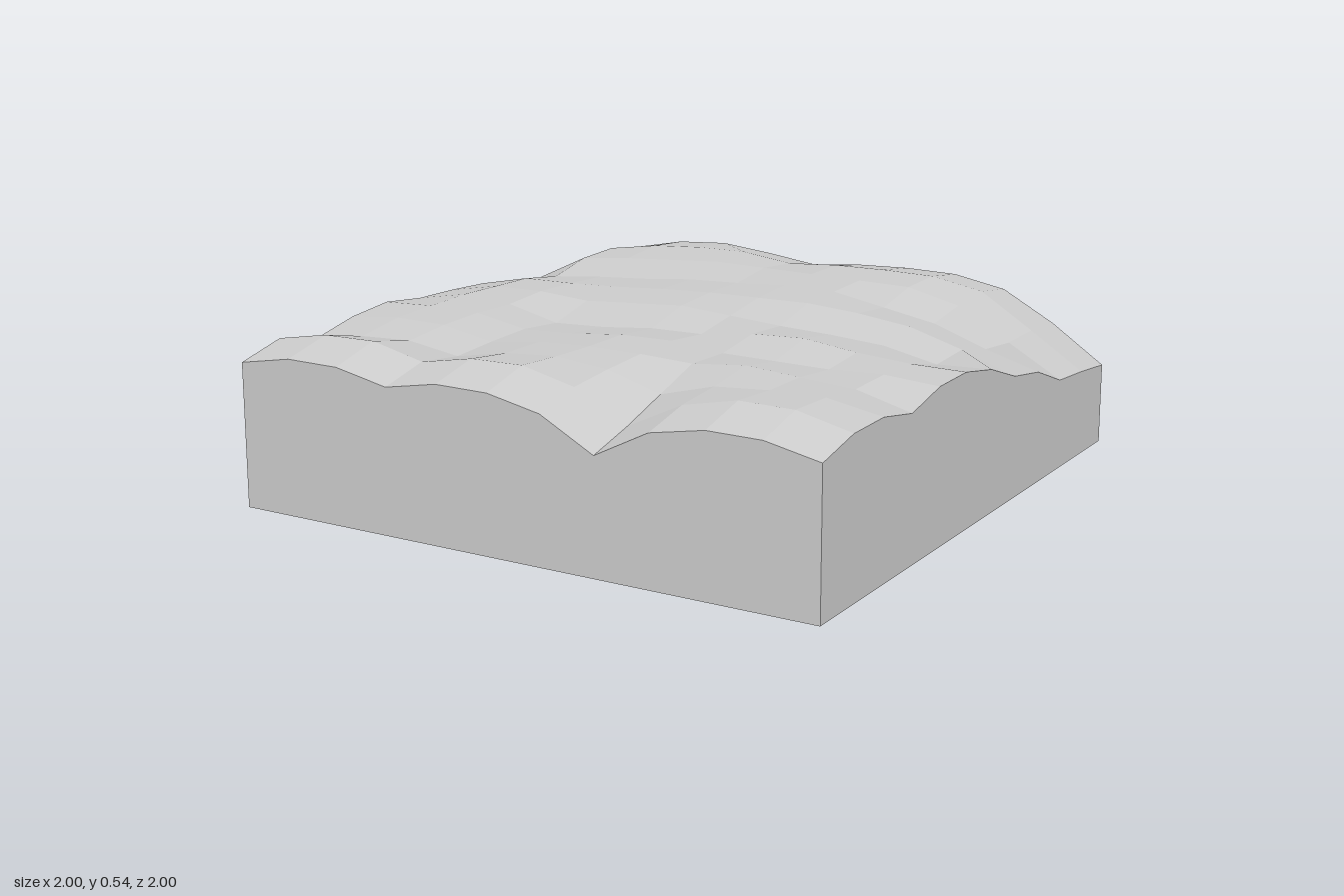
import * as THREE from 'three';

// Ground height in thousandths: one row per z line (back to front), one value per x line
const HEIGHTS = [
  [370, 460, 500, 515, 500, 480, 500, 510, 510, 480, 385, 265],
  [400, 490, 520, 535, 540, 520, 535, 540, 540, 510, 400, 285],
  [400, 490, 510, 525, 540, 540, 540, 540, 540, 500, 400, 300],
  [370, 460, 480, 495, 515, 525, 540, 540, 510, 480, 420, 370],
  [450, 490, 495, 505, 520, 530, 535, 540, 530, 510, 460, 400],
  [465, 500, 505, 495, 510, 525, 515, 505, 500, 490, 455, 465],
  [475, 510, 500, 460, 470, 490, 495, 520, 530, 510, 500, 500],
  [500, 510, 510, 480, 490, 510, 515, 500, 500, 500, 510, 500],
  [490, 510, 510, 480, 505, 515, 515, 510, 530, 520, 510, 465],
  [460, 490, 500, 475, 510, 525, 510, 460, 510, 525, 530, 500],
  [500, 535, 540, 500, 535, 540, 500, 410, 500, 540, 540, 500],
  [465, 500, 500, 465, 500, 500, 465, 370, 465, 500, 500, 465],
];
const N = HEIGHTS.length - 1;
const at = (k) => -1 + (2 * k) / N;
const top = (i, j) => new THREE.Vector3(at(i), HEIGHTS[j][i] / 1000, at(j));
const foot = (i, j) => new THREE.Vector3(at(i), 0, at(j));

// Mesh from four-cornered faces (counter-clockwise), each with one flat normal
function quadMesh(name, quads, material) {
  const positions = [], normals = [];
  for (const [a, b, c, d] of quads) {
    const n = c.clone().sub(a).cross(d.clone().sub(b)).normalize();
    for (const p of [a, b, c, a, c, d]) {
      positions.push(p.x, p.y, p.z);
      normals.push(n.x, n.y, n.z);
    }
  }
  const geometry = new THREE.BufferGeometry();
  geometry.setAttribute('position', new THREE.Float32BufferAttribute(positions, 3));
  geometry.setAttribute('normal', new THREE.Float32BufferAttribute(normals, 3));
  const mesh = new THREE.Mesh(geometry, material);
  mesh.name = name;
  return mesh;
}

export function createModel() {
  const group = new THREE.Group();
  group.name = 'terrainBlock';
  const material = new THREE.MeshStandardMaterial({ color: 0xcccccc });

  // Rolling ground surface
  const ground = [];
  for (let j = 0; j < N; j++)
    for (let i = 0; i < N; i++)
      ground.push([top(i, j), top(i, j + 1), top(i + 1, j + 1), top(i + 1, j)]);
  group.add(quadMesh('groundSurface', ground, material));

  // Cut side walls, each walked left to right as seen from outside
  const walls = {
    frontWall: (k) => [k, N],
    rightWall: (k) => [N, N - k],
    backWall: (k) => [N - k, 0],
    leftWall: (k) => [0, k],
  };
  for (const [name, cell] of Object.entries(walls)) {
    const quads = [];
    for (let k = 0; k < N; k++) {
      const a = cell(k), b = cell(k + 1);
      quads.push([foot(...a), foot(...b), top(...b), top(...a)]);
    }
    group.add(quadMesh(name, quads, material));
  }

  // Flat underside
  const base = [[foot(0, 0), foot(N, 0), foot(N, N), foot(0, N)]];
  group.add(quadMesh('base', base, material));
  return group;
}
